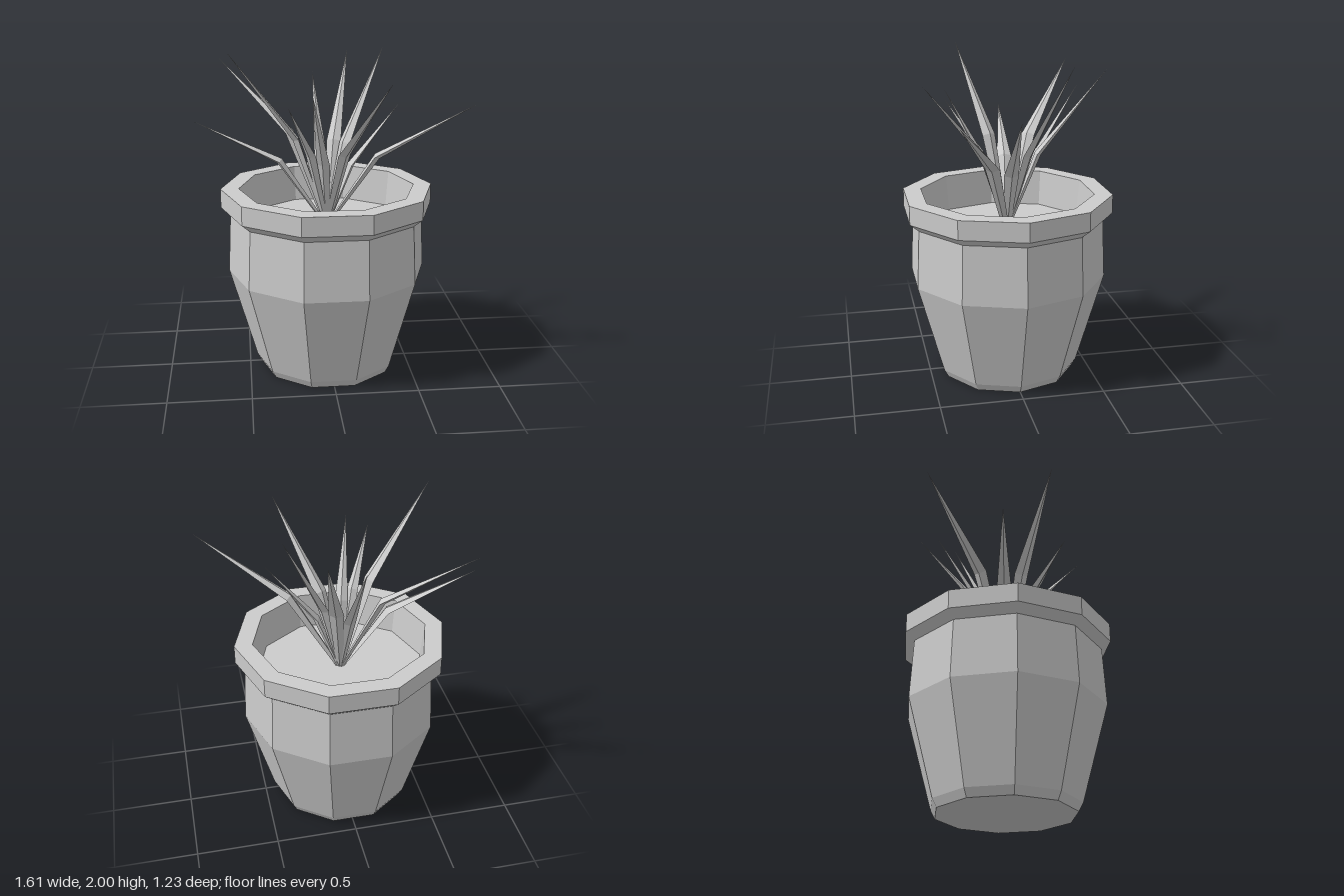
import * as THREE from 'three';

const SIDES = 10;
const CENTER_X = -0.007;

const clay = new THREE.MeshStandardMaterial({ color: 0xcccccc, flatShading: true });
clay.name = 'plain grey';

// Ten-sided turned part from [radius, height] pairs, with a corner on +x
function turned(name, profile) {
  const points = profile.map(([r, y]) => new THREE.Vector2(r, y));
  const mesh = new THREE.Mesh(new THREE.LatheGeometry(points, SIDES, Math.PI / 2), clay);
  mesh.name = name;
  mesh.position.x = CENTER_X;
  return mesh;
}

// Pointed leaf: diamond sections at base and bend, closing at the tip
function leaf(base, bend, tip, halfWidth, halfThick) {
  const out = new THREE.Vector3(tip.x - base.x, 0, tip.z - base.z).normalize();
  const side = new THREE.Vector3(out.z, 0, -out.x);
  const section = (center, along, scale) => {
    const up = new THREE.Vector3().crossVectors(along, side).normalize();
    return [[1, 0], [0, 1], [-1, 0], [0, -1]].map(([s, u]) => center.clone()
      .addScaledVector(side, s * halfWidth * scale)
      .addScaledVector(up, u * halfThick * scale));
  };
  const lower = bend.clone().sub(base);
  const whole = tip.clone().sub(base);
  const rings = [section(base, lower, 0.45), section(bend, whole, 1), section(tip, whole, 0.01)];

  const positions = rings.flat().flatMap((p) => p.toArray());
  const index = [];
  for (let r = 0; r < 2; r++) {
    for (let i = 0; i < 4; i++) {
      const a = r * 4 + i, b = r * 4 + (i + 1) % 4;
      index.push(a, b, b + 4, a, b + 4, a + 4);
    }
  }
  const geometry = new THREE.BufferGeometry();
  geometry.setAttribute('position', new THREE.Float32BufferAttribute(positions, 3));
  geometry.setIndex(index);
  geometry.computeVertexNormals();
  return new THREE.Mesh(geometry, clay);
}

export function createModel() {
  const model = new THREE.Group();
  model.name = 'pottedPlant';

  // Pot: foot, belly, shoulder, overhanging rim and inner wall
  model.add(turned('pot', [
    [0, 0], [0.42, 0], [0.447, 0.05], [0.61, 0.63], [0.592, 0.99],
    [0.648, 1.037], [0.648, 1.153], [0.537, 1.153], [0.515, 0.93],
  ]));
  model.add(turned('soil', [[0.517, 0.93], [0, 0.93]]));

  // Leaves: bend, then tip
  const leaves = [
    [[-0.22, 1.46, -0.18], [-0.645, 1.87, -0.53], 0.045],
    [[-0.2, 1.47, 0.075], [-0.587, 2.0, 0.22], 0.045],
    [[0.055, 1.4, -0.18], [0.18, 1.91, -0.555], 0.045],
    [[0.115, 1.4, -0.105], [0.375, 1.96, -0.31], 0.045],
    [[0.085, 1.38, 0.14], [0.3, 1.86, 0.53], 0.045],
    [[0.14, 1.29, 0.0], [0.43, 1.66, 0.0], 0.045],
    [[0.28, 1.37, 0.14], [0.805, 1.72, 0.4], 0.045],
    [[-0.29, 1.31, -0.04], [-0.8, 1.55, -0.1], 0.045],
    [[-0.115, 1.38, 0.14], [-0.255, 1.7, 0.345], 0.035],
    [[-0.04, 1.32, 0.12], [-0.12, 1.77, 0.355], 0.04],
    [[-0.03, 1.32, -0.15], [-0.055, 1.79, -0.445], 0.04],
  ];
  const foliage = new THREE.Group();
  foliage.name = 'foliage';
  for (const [bend, tip, width] of leaves) {
    const mesh = leaf(new THREE.Vector3(CENTER_X, 0.9, 0),
      new THREE.Vector3(...bend), new THREE.Vector3(...tip), width, 0.02);
    mesh.name = 'leaf';
    foliage.add(mesh);
  }
  model.add(foliage);
  return model;
}
